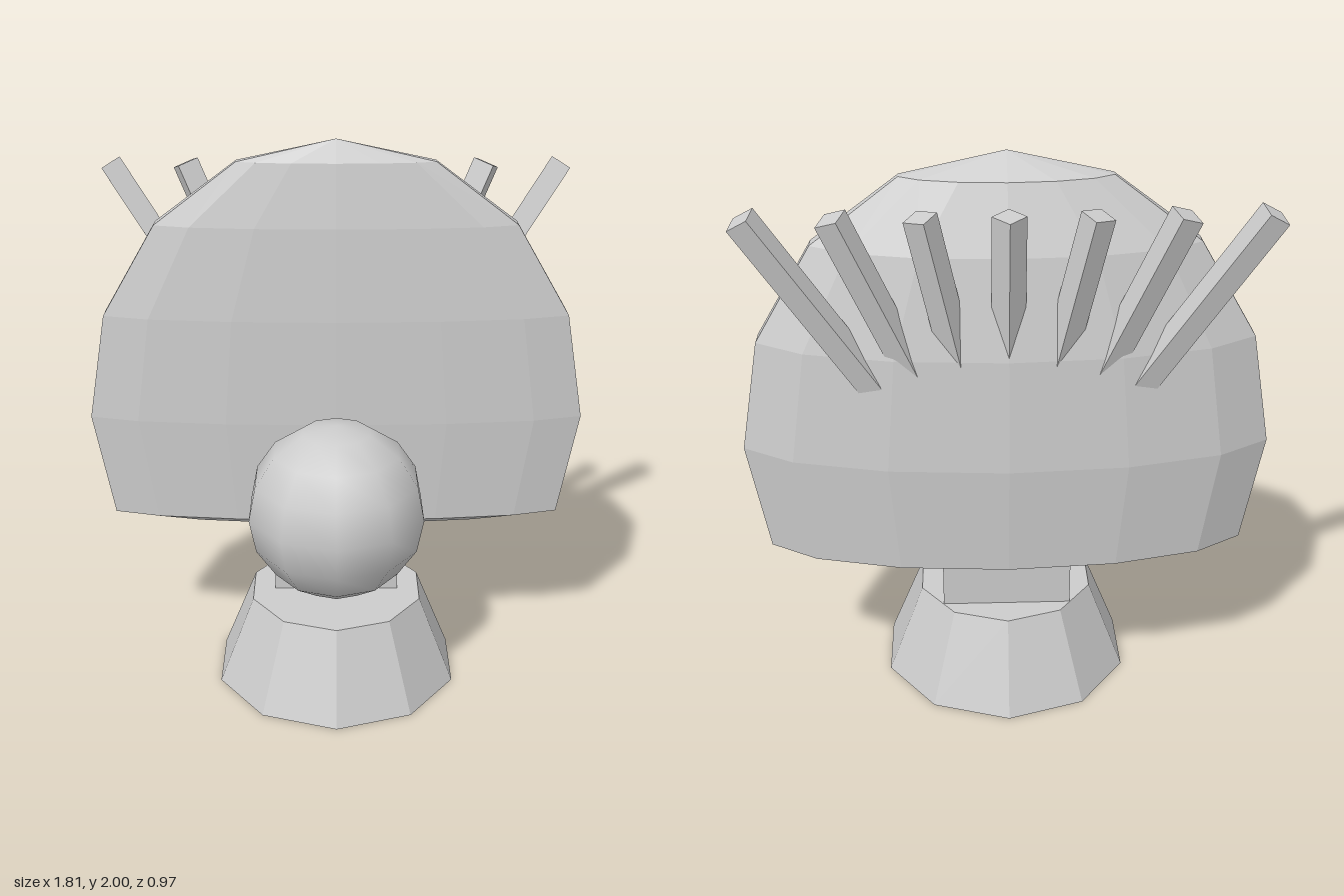
import * as THREE from 'three';

export function createModel() {
  const model = new THREE.Group();
  const flatGrey = new THREE.MeshStandardMaterial({ color: 0xcccccc, flatShading: true });
  flatGrey.name = 'light grey';
  const smoothGrey = new THREE.MeshStandardMaterial({ color: 0xcccccc });
  smoothGrey.name = 'light grey smooth';

  const add = (name, geometry, material, x = 0, y = 0, z = 0) => {
    const mesh = new THREE.Mesh(geometry, material);
    mesh.name = name;
    mesh.position.set(x, y, z);
    model.add(mesh);
    return mesh;
  };

  // Ten-sided tapered foot and the neck block on it
  add('base', new THREE.CylinderGeometry(0.326, 0.46, 0.33, 10), flatGrey, 0, 0.165, -0.022);
  add('neck', new THREE.BoxGeometry(0.46, 0.185, 0.23), flatGrey, 0, 0.4225, -0.115);

  // Ball at the front
  const ball = new THREE.SphereGeometry(0.323, 10, 8).rotateY(Math.PI / 2);
  add('ball', ball, smoothGrey, 0, 0.748, 0.162);

  // Shell: an ellipsoid, shallow in front and deep behind, cut flat below
  const shell = new THREE.SphereGeometry(1, 14, 8).rotateY(Math.PI / 2);
  const p = shell.attributes.position;
  for (let i = 0; i < p.count; i++) {
    const z = p.getZ(i);
    p.setXYZ(
      i,
      p.getX(i) * 0.928,
      Math.max(p.getY(i) * 1.02, -0.415),
      z * (z > 0 ? 0.11 : 0.275),
    );
  }
  shell.computeVertexNormals();
  add('shell', shell, flatGrey, 0, 0.98, -0.16);

  // Seven square rods fanning out from the bottom of the shell
  const up = new THREE.Vector3(0, 1, 0);
  const root = new THREE.Vector3(0, 0.565, -0.245);
  for (let k = -3; k <= 3; k++) {
    const tip = new THREE.Vector3(k * 0.273, 1.862, -0.42);
    const axis = tip.clone().sub(root);
    const length = axis.length();
    const middle = root.clone().add(tip).multiplyScalar(0.5);
    const rod = add('rod', new THREE.CylinderGeometry(0.055, 0.055, length, 4), flatGrey, ...middle.toArray());
    // Each rod turns about its own length as far as it leans
    const twist = new THREE.Quaternion().setFromAxisAngle(up, Math.atan2(axis.x, axis.y));
    rod.quaternion.setFromUnitVectors(up, axis.normalize()).multiply(twist);
  }

  return model;
}
